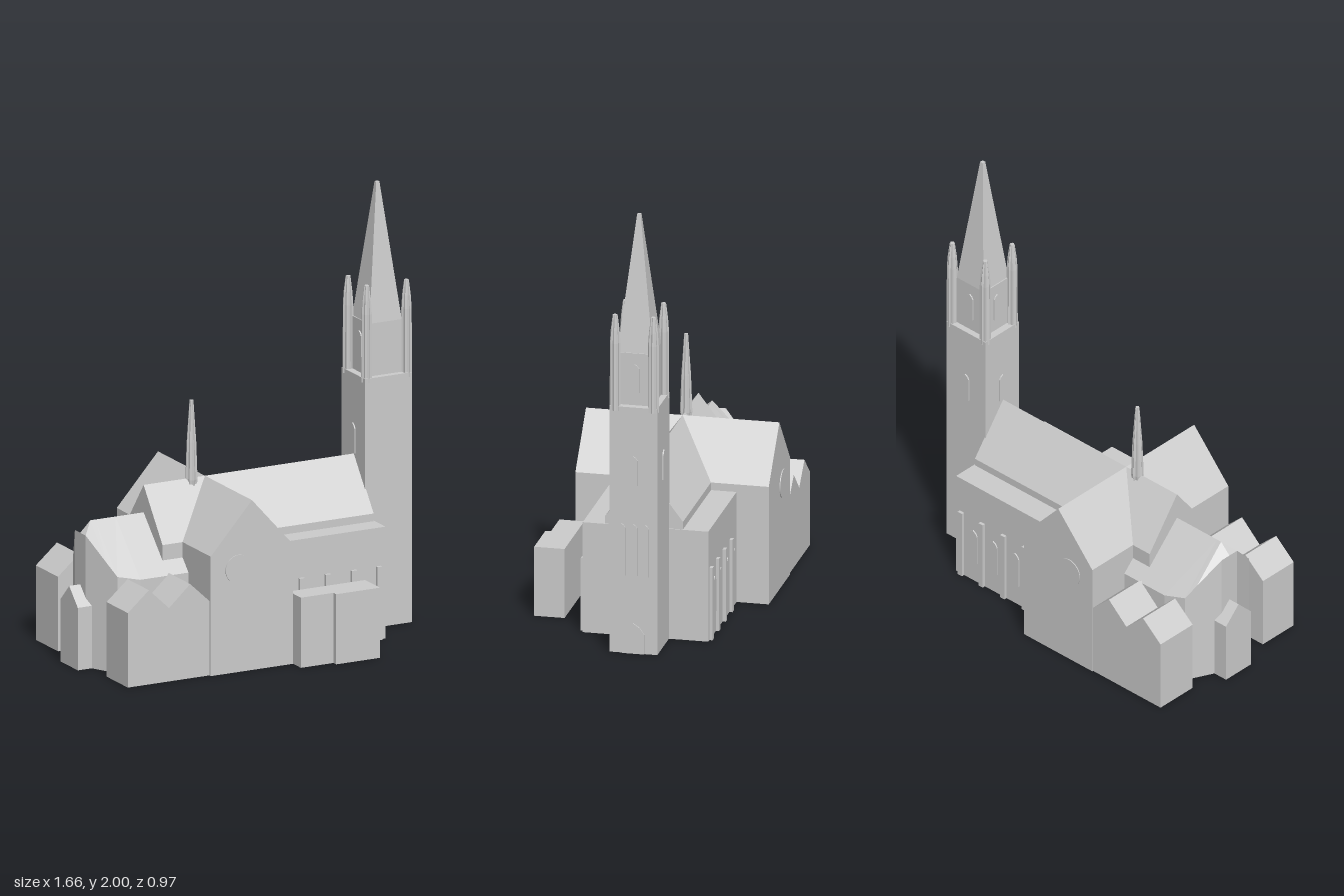
import * as THREE from 'three';

const ZC = -0.05; // z of the long axis of the church

export function createModel() {
  const root = new THREE.Group();
  root.name = 'church';
  const stone = new THREE.MeshStandardMaterial({ color: 0xcccccc });
  stone.name = 'stone';

  const add = (name, geo, parent = root) => {
    const m = new THREE.Mesh(geo, stone);
    m.name = name;
    parent.add(m);
    return m;
  };
  const box = (name, x0, x1, y0, y1, z0, z1) => {
    const g = new THREE.BoxGeometry(x1 - x0, y1 - y0, z1 - z0);
    g.translate((x0 + x1) / 2, (y0 + y1) / 2, (z0 + z1) / 2);
    return add(name, g);
  };
  const extrude = (pts, depth) => new THREE.ExtrudeGeometry(
    new THREE.Shape(pts.map(p => new THREE.Vector2(p[0], p[1]))), { depth, bevelEnabled: false });
  // outline in x,y pushed along z
  const prismZ = (name, pts, z0, z1) => add(name, extrude(pts, z1 - z0).translate(0, 0, z0));
  // symmetric gable block about the long axis, pushed along x
  const gableX = (name, half, y0, eave, ridge, x0, x1) => add(name,
    extrude([[-half, y0], [half, y0], [half, eave], [0, ridge], [-half, eave]], x1 - x0)
      .rotateY(Math.PI / 2).translate(x0, 0, ZC));
  // thin pointed window plate; ry turns it to face its wall
  const lancet = (name, w, h, x, y, z, ry) => {
    const a = w / 2;
    const m = add(name, extrude([[-a, 0], [a, 0], [a, h - a], [a * 0.6, h - a * 0.4],
      [0, h], [-a * 0.6, h - a * 0.4], [-a, h - a]], 0.006));
    m.position.set(x, y, z);
    m.rotation.y = ry;
  };

  // Nave with flat-roofed aisles and high gabled roof
  box('aisles', 0, 0.595, 0, 0.51, -0.34, 0.225);
  gableX('naveRoof', 0.175, 0.475, 0.545, 0.775, -0.46, 0.59);

  // Transept crossing the nave
  prismZ('transept', [[-0.36, 0], [0.05, 0], [0.05, 0.545], [-0.155, 0.775], [-0.36, 0.545]], -0.485, 0.385);
  for (const [z, name] of [[0.385, 'frontRoseWindow'], [-0.485, 'backRoseWindow']]) {
    const g = new THREE.CylinderGeometry(0.065, 0.065, 0.008, 32).rotateX(Math.PI / 2);
    add(name, g).position.set(-0.222, 0.47, z);
  }

  // Aisle buttresses and windows on both sides
  for (const [z, s] of [[0.225, 1], [-0.34, -1]]) {
    for (const x of [0.175, 0.305, 0.435, 0.56]) {
      box('buttress', x - 0.013, x + 0.013, 0, 0.335, z - 0.014, z + 0.014);
    }
    for (const x of [0.11, 0.24, 0.37, 0.49]) {
      lancet('aisleWindow', 0.05, 0.17, x, 0.1, z, s > 0 ? 0 : Math.PI);
    }
  }

  // Polygonal apse: cross-sections of [x, half width, eave, ridge]
  const rings = [[-0.775, 0.05, 0.6, 0.6], [-0.725, 0.153, 0.493, 0.65], [-0.7, 0.205, 0.44, 0.65],
    [-0.6, 0.23, 0.42, 0.65], [-0.3, 0.23, 0.42, 0.65]].map(([x, h, e, r]) =>
    [[x, 0, ZC + h], [x, e, ZC + h], [x, r, ZC], [x, e, ZC - h], [x, 0, ZC - h]]);
  const pos = [];
  const tri = (a, b, c) => pos.push(...a, ...b, ...c);
  for (let i = 0; i < rings.length - 1; i++) {
    for (let j = 0; j < 5; j++) {
      const k = (j + 1) % 5, A = rings[i], B = rings[i + 1];
      tri(A[j], B[j], B[k]);
      tri(A[j], B[k], A[k]);
    }
  }
  for (let j = 1; j < 4; j++) {
    tri(rings[0][0], rings[0][j], rings[0][j + 1]);
    tri(rings[4][0], rings[4][j + 1], rings[4][j]);
  }
  const apse = new THREE.BufferGeometry();
  apse.setAttribute('position', new THREE.Float32BufferAttribute(pos, 3));
  apse.computeVertexNormals();
  add('apse', apse);
  gableX('apseChapel', 0.08, 0, 0.285, 0.365, -0.83, -0.7);

  // Twin-gabled side chapels
  const zigzag = [[-0.765, 0], [-0.36, 0], [-0.36, 0.34], [-0.455, 0.43], [-0.56, 0.335], [-0.66, 0.43], [-0.765, 0.34]];
  prismZ('frontChapels', zigzag, 0.175, 0.372);
  prismZ('backChapels', zigzag, -0.48, -0.275);

  // Detached low annex
  box('annexSmall', 0.05, 0.212, 0, 0.32, 0.345, 0.457);
  box('annexLarge', 0.212, 0.43, 0, 0.32, 0.345, 0.482);

  // Tower, belfry and spire
  const TX = 0.703, TZ = -0.055;
  box('tower', 0.585, 0.82, 0, 1.14, -0.163, 0.053);
  box('belfry', TX - 0.085, TX + 0.085, 1.14, 1.38, TZ - 0.08, TZ + 0.08);
  const spire = new THREE.CylinderGeometry(0.008 * Math.SQRT2, 0.08 * Math.SQRT2, 0.62, 4, 1)
    .toNonIndexed().rotateY(Math.PI / 4);
  spire.computeVertexNormals();
  add('spire', spire).position.set(TX, 1.69, TZ);

  // Ribbed slender pinnacles, made from an eight-point star section
  const pinnacle = (name, x, z, y0, profile) => {
    const n = 16, last = profile.length - 1;
    const g = new THREE.CylinderGeometry(1, 1, 1, n, last);
    const p = g.attributes.position;
    for (let i = 0; i < p.count; i++) {
      const row = Math.round((p.getY(i) + 0.5) * last);
      const a = Math.round(Math.atan2(p.getZ(i), p.getX(i)) / (Math.PI / 8));
      const [r, y] = profile[row];
      const f = a % 2 ? 0.8 : 1;
      p.setXYZ(i, p.getX(i) * r * f, y, p.getZ(i) * r * f);
    }
    const flat = g.toNonIndexed();
    flat.computeVertexNormals();
    add(name, flat).position.set(x, y0, z);
  };
  for (const x of [0.606, 0.804]) {
    for (const z of [-0.142, 0.03]) {
      pinnacle('towerPinnacle', x, z, 1.12, [[0.025, 0], [0.024, 0.31], [0.02, 0.37], [0.011, 0.44]]);
    }
  }
  pinnacle('crossingSpirelet', -0.222, ZC, 0.74, [[0.024, 0], [0.028, 0.03], [0.022, 0.2], [0.009, 0.39]]);

  // Tower door and windows
  const E = Math.PI / 2;
  lancet('door', 0.1, 0.14, 0.82, 0, TZ, E);
  for (const dz of [-0.053, 0, 0.053]) lancet('towerLancet', 0.036, 0.24, 0.82, 0.36, TZ + dz, E);
  lancet('upperWindow', 0.042, 0.135, 0.82, 0.78, TZ, E);
  lancet('upperWindow', 0.042, 0.135, 0.585, 0.78, TZ, -E);
  lancet('upperWindow', 0.042, 0.135, TX, 0.78, -0.163, Math.PI);
  lancet('belfryWindow', 0.04, 0.13, TX + 0.085, 1.2, TZ, E);
  lancet('belfryWindow', 0.04, 0.13, TX - 0.085, 1.2, TZ, -E);
  lancet('belfryWindow', 0.04, 0.13, TX, 1.2, TZ - 0.08, Math.PI);
  return root;
}
